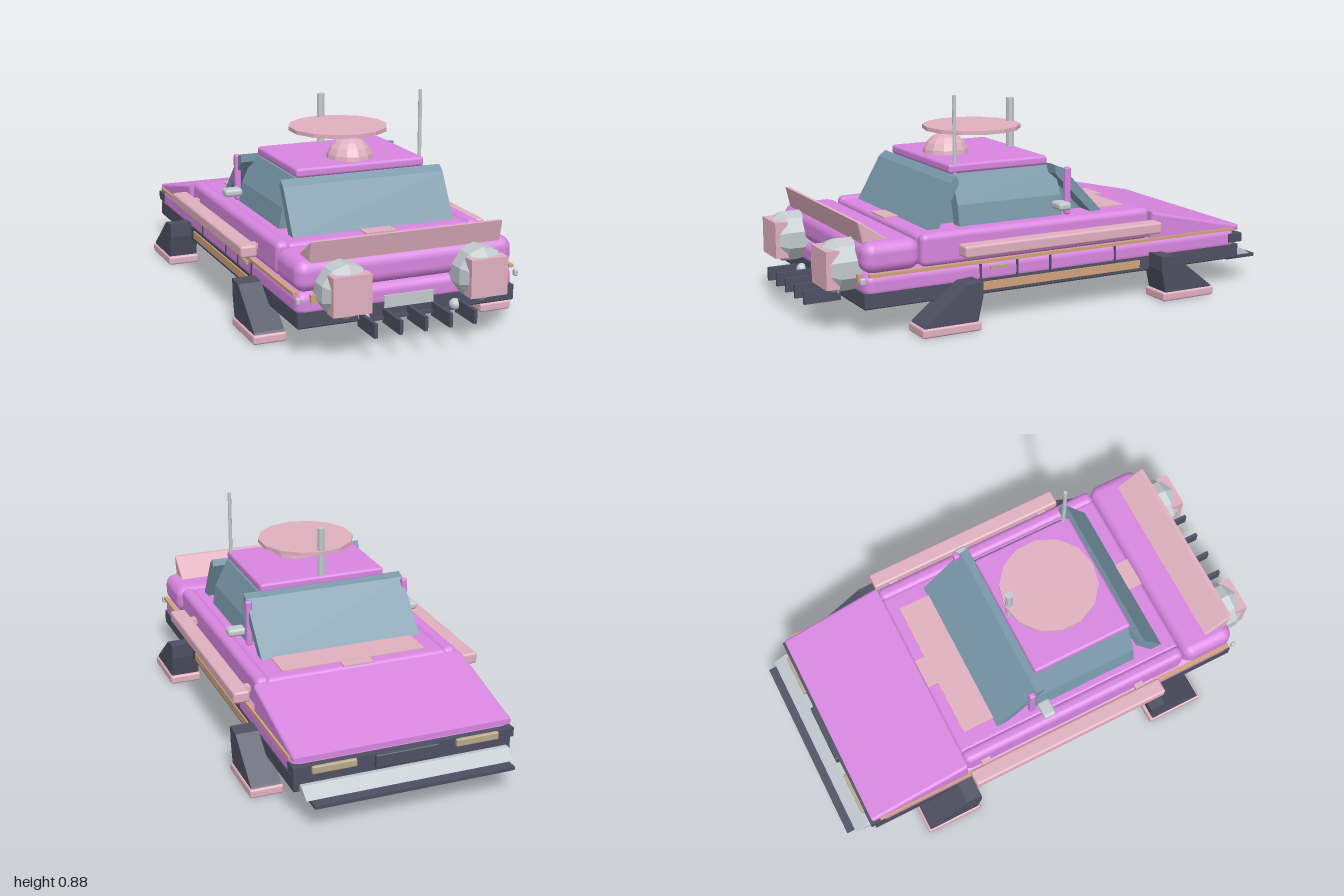
import * as THREE from 'three';
import { RoundedBoxGeometry } from 'three/addons/geometries/RoundedBoxGeometry.js';

const mat = (name, color) => {
  const m = new THREE.MeshStandardMaterial({ color });
  m.name = name;
  return m;
};

export function createModel() {
  const root = new THREE.Group();
  const paint = mat('orchid paint', 0xd886e0);
  const dusty = mat('dusty pink', 0xe0b0bf);
  const glass = mat('blue glass', 0x7997a9);
  const dark = mat('dark slate', 0x4e5062);
  const under = mat('underside black', 0x343640);
  const metal = mat('light grey metal', 0xc2cacf);
  const tan = mat('tan trim', 0xd0a37c);
  const lamp = mat('lamp beige', 0xb8a98a);

  const add = (name, geo, material, x = 0, y = 0, z = 0) => {
    const m = new THREE.Mesh(geo, material);
    m.name = name;
    m.position.set(x, y, z);
    root.add(m);
    return m;
  };
  // Boxes given by their limits; r > 0 rounds the edges
  const box = (name, material, x0, x1, y0, y1, z0, z1, r = 0) => {
    const s = [x1 - x0, y1 - y0, z1 - z0];
    const g = r ? new RoundedBoxGeometry(...s, 3, r) : new THREE.BoxGeometry(...s);
    return add(name, g, material, (x0 + x1) / 2, (y0 + y1) / 2, (z0 + z1) / 2);
  };
  // The same box on both sides
  const pair = (name, material, x0, x1, ...rest) => {
    box(name + 'Left', material, x0, x1, ...rest);
    box(name + 'Right', material, -x1, -x0, ...rest);
  };
  const flat = (g) => {
    const f = g.index ? g.toNonIndexed() : g;
    f.computeVertexNormals();
    return f;
  };
  const extrude = (pts, depth, bevel) => {
    const shape = new THREE.Shape(pts.map(([a, b]) => new THREE.Vector2(a, b)));
    return new THREE.ExtrudeGeometry(shape, {
      depth: depth - 2 * bevel, bevelEnabled: bevel > 0, bevelSize: bevel,
      bevelThickness: bevel, bevelOffset: -bevel, bevelSegments: 3,
    }).translate(0, 0, bevel - depth / 2);
  };
  // Side profile of [z, y] points, extruded across x
  const profile = (name, material, pts, width, bevel = 0, x = 0) =>
    add(name, extrude(pts, width, bevel).rotateY(-Math.PI / 2), material, x);

  // Chassis
  box('chassis', dark, -0.45, 0.45, 0.118, 0.175, -0.88, 0.85);
  box('underside', under, -0.448, 0.448, 0.114, 0.12, -0.878, 0.848);

  // Body
  box('lowerBody', paint, -0.45, 0.45, 0.15, 0.248, -0.87, 0.845, 0.035);
  box('tailBlock', paint, -0.45, 0.45, 0.243, 0.365, 0.61, 0.845, 0.045);
  box('midBody', paint, -0.39, 0.39, 0.24, 0.367, -0.435, 0.605, 0.02);
  pair('shoulder', paint, 0.375, 0.437, 0.243, 0.374, -0.435, 0.605, 0.025);
  profile('hood', paint, [[-0.885, 0.235], [-0.435, 0.235], [-0.435, 0.358], [-0.885, 0.257]], 0.9, 0.012);

  // Deck plates in front of and behind the cabin
  box('frontDeck', dusty, -0.31, 0.31, 0.365, 0.372, -0.385, -0.2);
  box('frontDeckTab', dusty, -0.065, 0.065, 0.365, 0.371, -0.43, -0.38);
  box('rearDeckTab', dusty, -0.065, 0.065, 0.365, 0.372, 0.53, 0.6);

  // Cabin core and tilted window slabs
  profile('cabinCore', glass, [[-0.2, 0.366], [0.48, 0.366], [0.4, 0.565], [-0.03, 0.565]], 0.53);
  profile('windscreen', glass, [[-0.25, 0.368], [-0.2, 0.368], [-0.03, 0.54], [-0.03, 0.575], [-0.065, 0.562]], 0.7);
  profile('rearWindow', glass, [[0.49, 0.368], [0.54, 0.368], [0.44, 0.545], [0.41, 0.568], [0.4, 0.54]], 0.69);
  for (const s of [1, -1]) {
    const pts = [[0.3, 0.368], [0.35, 0.368], [0.335, 0.45], [0.28, 0.565], [0.25, 0.565]];
    const p = s > 0 ? pts : pts.map(([x, y]) => [-x, y]).reverse();
    add(s > 0 ? 'sideWindowLeft' : 'sideWindowRight', extrude(p, 0.465, 0), glass, 0, 0, 0.17);
  }
  box('roof', paint, -0.277, 0.277, 0.565, 0.603, -0.035, 0.41, 0.012);
  pair('cabinFin', paint, 0.335, 0.361, 0.368, 0.563, -0.1, -0.072, 0.008);
  pair('mirror', metal, 0.35, 0.427, 0.4, 0.433, -0.065, -0.008, 0.013);

  // Roof equipment
  add('dome', flat(new THREE.SphereGeometry(0.097, 12, 5, 0, Math.PI * 2, 0, Math.PI / 2)),
    dusty, 0, 0.59, 0.29);
  add('disc', flat(new THREE.CylinderGeometry(0.204, 0.204, 0.016, 14)), dusty, 0, 0.703, 0.17);
  add('mast', flat(new THREE.CylinderGeometry(0.017, 0.017, 0.21, 8)), metal, 0, 0.705, -0.013);
  add('antenna', flat(new THREE.CylinderGeometry(0.008, 0.008, 0.31, 8)), metal, 0.268, 0.72, 0.382);

  // Spoiler
  profile('spoiler', dusty, [[0.725, 0.362], [0.83, 0.355], [0.85, 0.44], [0.835, 0.44]], 0.79, 0.008);

  // Engines
  for (const s of [1, -1]) {
    const side = s > 0 ? 'Left' : 'Right';
    const pts = [[0, 0.8], [0.105, 0.8], [0.105, 0.91], [0.078, 0.95], [0, 0.95]];
    const g = new THREE.LatheGeometry(pts.map(([r, y]) => new THREE.Vector2(r, y)), 10);
    add('engine' + side, flat(g.rotateX(Math.PI / 2)), metal, s * 0.28, 0.257, 0);
    add('exhaust' + side, new THREE.SphereGeometry(0.023, 12, 8), metal, s * 0.19, 0.133, 0.86);
  }
  pair('engineCap', dusty, 0.203, 0.357, 0.182, 0.332, 0.91, 0.964);

  // Tail details
  box('tailPlate', metal, -0.102, 0.102, 0.152, 0.2, 0.84, 0.852);
  for (let i = -2; i <= 2; i++) {
    box('diffuserFin' + (i + 3), dark, i * 0.102 - 0.007, i * 0.102 + 0.007, 0.097, 0.152, 0.85, 1);
  }
  box('diffuserBar', dark, -0.2, 0.2, 0.112, 0.124, 0.845, 0.865);
  pair('tailLamp', tan, 0.36, 0.4, 0.21, 0.24, 0.835, 0.855);
  pair('sideKnob', metal, 0.444, 0.46, 0.212, 0.24, 0.845, 0.868, 0.007);

  // Side rails and trim
  pair('sideRail', dusty, 0.462, 0.53, 0.284, 0.332, -0.433, 0.465, 0.01);
  pair('railBracketRear', dusty, 0.42, 0.47, 0.297, 0.317, 0.36, 0.4);
  pair('railBracketFront', dusty, 0.42, 0.47, 0.297, 0.317, -0.37, -0.33);
  pair('beltTrim', tan, 0.44, 0.459, 0.238, 0.25, -0.85, 0.83);
  pair('sillTrim', tan, 0.445, 0.456, 0.13, 0.163, -0.375, 0.352);
  [0.362, 0.2, 0.05, -0.255].forEach((z, i) =>
    pair('doorLine' + (i + 1), dark, 0.446, 0.453, 0.175, 0.238, z - 0.004, z + 0.004));
  pair('doorHandle', lamp, 0.446, 0.458, 0.21, 0.223, 0.24, 0.32);

  // Landing legs and feet, mirrored both ways
  for (const sx of [1, -1]) {
    for (const sz of [1, -1]) {
      const label = (sz > 0 ? 'rear' : 'front') + (sx > 0 ? 'Left' : 'Right');
      const pts = [[0.412, 0.13], [0.435, 0.03], [0.665, 0.03], [0.655, 0.045], [0.48, 0.185], [0.412, 0.19]];
      const p = sz > 0 ? pts : pts.map(([z, y]) => [-z, y]).reverse();
      const leg = profile(label + 'Leg', dark, p, 0.122, 0, sx * 0.484);
      leg.position.z = -0.012;
      const z = sz * 0.545 - 0.012;
      box(label + 'Foot', dusty, sx * 0.484 - 0.068, sx * 0.484 + 0.068, 0, 0.037, z - 0.125, z + 0.125, 0.009);
    }
  }

  // Nose details
  box('noseStrip', dark, -0.455, 0.455, 0.185, 0.222, -0.897, -0.83);
  box('nosePlate', dark, -0.13, 0.13, 0.165, 0.222, -0.912, -0.89, 0.006);
  pair('headLamp', lamp, 0.205, 0.385, 0.19, 0.222, -0.91, -0.89, 0.006);
  profile('bumper', metal, [[-0.965, 0.118], [-0.89, 0.118], [-0.89, 0.15], [-0.91, 0.152]], 0.86, 0.004);
  box('splitter', dark, -0.41, 0.41, 0.098, 0.112, -1, -0.855);

  return root;
}
